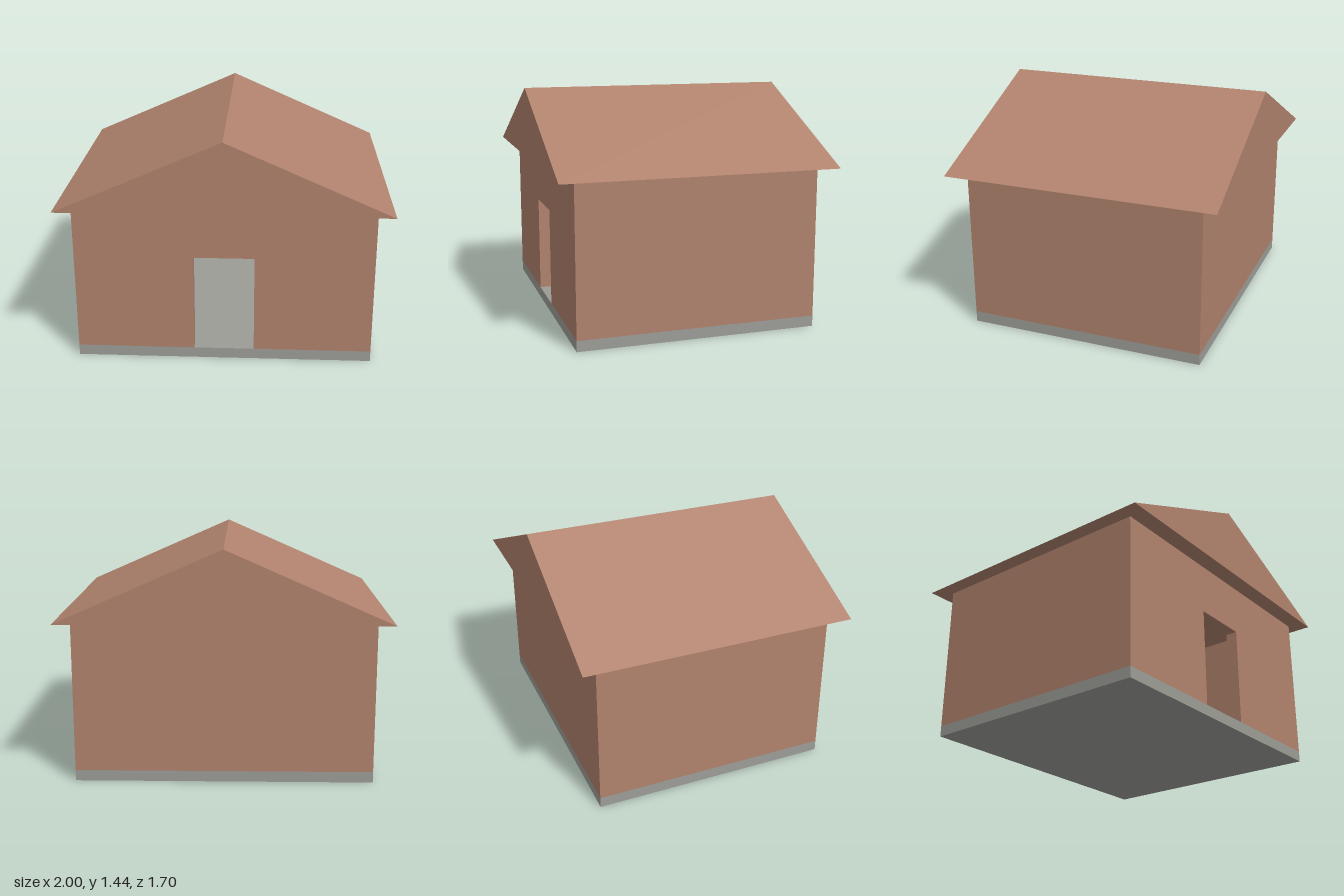
import * as THREE from 'three';

const brick = new THREE.MeshStandardMaterial({ color: 0xb0826d });
brick.name = 'clayBrown';
const stone = new THREE.MeshStandardMaterial({ color: 0x9c9c97 });
stone.name = 'stoneGrey';

// Main dimensions
const HALF_W = 0.907, HALF_D = 0.745, WALL = 0.075;
const BASE = 0.067, EAVE = 0.997, RIDGE = 1.437;
const ROOF_W = 1, ROOF_D = 0.85;
const DOOR_W = 0.185, DOOR_TOP = 0.68;

function add(group, name, geometry, material, x = 0, y = 0, z = 0) {
  const mesh = new THREE.Mesh(geometry, material);
  mesh.name = name;
  mesh.position.set(x, y, z);
  group.add(mesh);
}

function extrude(points, depth) {
  const shape = new THREE.Shape(points.map(([x, y]) => new THREE.Vector2(x, y)));
  return new THREE.ExtrudeGeometry(shape, { depth, bevelEnabled: false });
}

export function createModel() {
  const house = new THREE.Group();
  house.name = 'house';
  const wallH = EAVE - BASE, midY = (EAVE + BASE) / 2;

  // Floor slab, flush with the walls
  add(house, 'floorSlab', new THREE.BoxGeometry(HALF_W * 2, BASE, HALF_D * 2), stone, 0, BASE / 2, 0);

  // Front wall with the open doorway cut up from the floor
  add(house, 'frontWall', extrude([
    [-HALF_W, BASE], [-DOOR_W, BASE], [-DOOR_W, DOOR_TOP], [DOOR_W, DOOR_TOP],
    [DOOR_W, BASE], [HALF_W, BASE], [HALF_W, EAVE], [-HALF_W, EAVE],
  ], WALL), brick, 0, 0, HALF_D - WALL);

  // Back and side walls
  add(house, 'backWall', new THREE.BoxGeometry(HALF_W * 2, wallH, WALL), brick, 0, midY, -HALF_D + WALL / 2);
  for (const [name, side] of [['leftWall', 1], ['rightWall', -1]]) {
    add(house, name, new THREE.BoxGeometry(WALL, wallH, (HALF_D - WALL) * 2), brick,
      side * (HALF_W - WALL / 2), midY, 0);
  }

  // Solid gable roof overhanging on every side
  add(house, 'gableRoof', extrude([[-ROOF_W, EAVE], [ROOF_W, EAVE], [0, RIDGE]], ROOF_D * 2), brick, 0, 0, -ROOF_D);

  return house;
}
